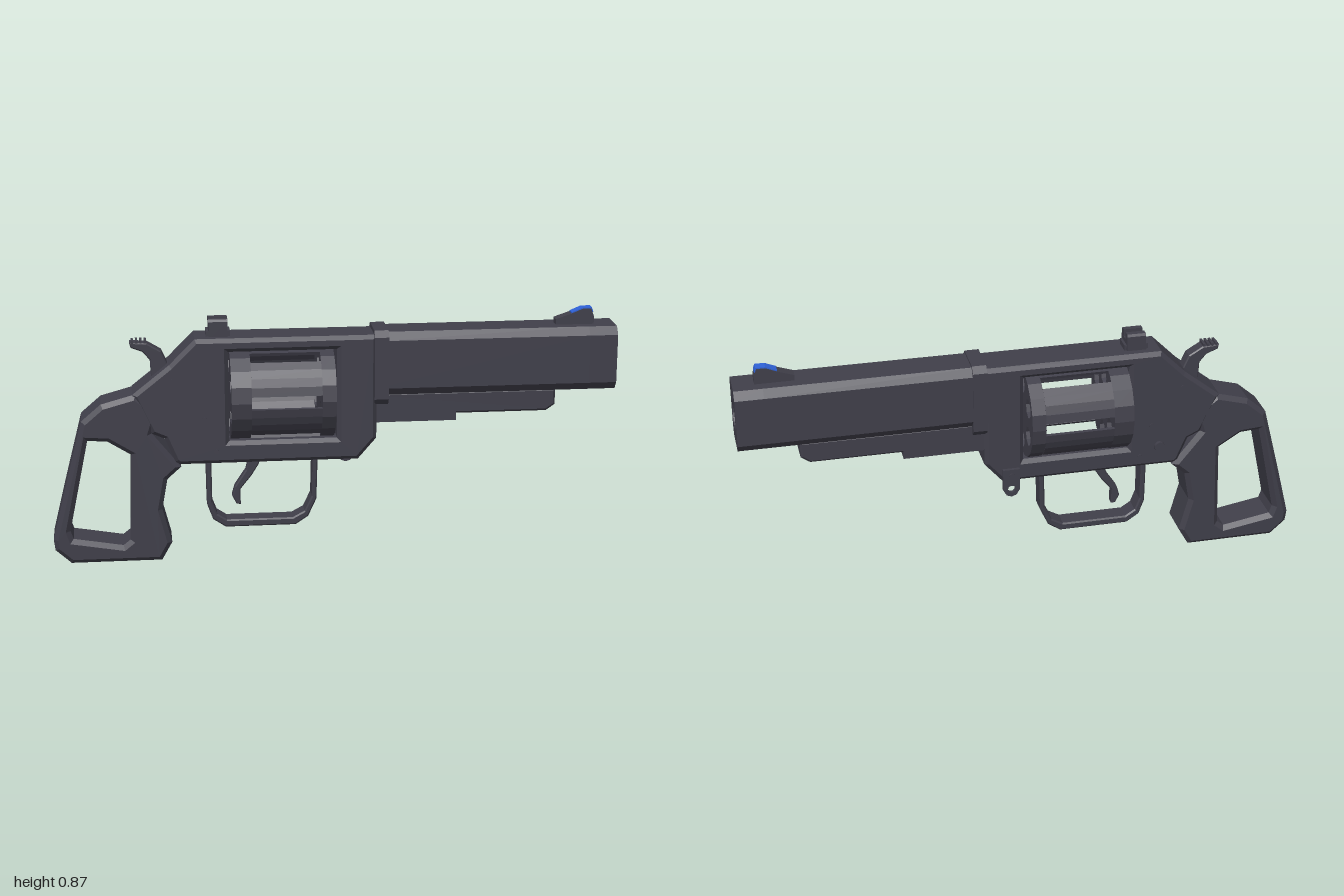
import * as THREE from 'three';

const gunmetal = new THREE.MeshStandardMaterial({ color: 0x403f4a });
gunmetal.name = 'gunmetal';
const sightBlue = new THREE.MeshStandardMaterial({ color: 0x2f62d8 });
sightBlue.name = 'sight blue';

const vec = (p) => p.map(([x, y]) => new THREE.Vector2(x, y));

function shapeOf(outline, holes = []) {
  const s = new THREE.Shape(vec(outline));
  for (const h of holes) s.holes.push(new THREE.Path(vec(h)));
  return s;
}

function circle(cx, cy, r, n) {
  return Array.from({ length: n }, (_, i) => {
    const a = (i / n) * Math.PI * 2;
    return [cx + r * Math.cos(a), cy + r * Math.sin(a)];
  });
}

export function createModel() {
  const model = new THREE.Group();
  model.name = 'revolver';

  const add = (name, geometry, material = gunmetal, parent = model) => {
    const m = new THREE.Mesh(geometry, material);
    m.name = name;
    parent.add(m);
    return m;
  };

  // Side profile (x, y), centred on z with total half width and bevel
  const plate = (shape, half, bevel = 0, z = 0) => {
    const g = new THREE.ExtrudeGeometry(shape, {
      depth: 2 * (half - bevel), bevelEnabled: bevel > 0, bevelThickness: bevel,
      bevelSize: bevel, bevelOffset: -bevel, bevelSegments: 1, curveSegments: 8,
    });
    return g.translate(0, 0, z - half + bevel);
  };

  // Cross-section (z, y) run along x
  const along = (shape, x0, x1) =>
    new THREE.ExtrudeGeometry(shape, { depth: x1 - x0, bevelEnabled: false, curveSegments: 8 })
      .rotateY(Math.PI / 2).translate(x0, 0, 0);

  // Rectangle with chamfered corners
  const chamfered = (hw, y0, y1, cx, cy) => [
    [-hw + cx, y0], [hw - cx, y0], [hw, y0 + cy], [hw, y1 - cy],
    [hw - cx, y1], [-hw + cx, y1], [-hw, y1 - cy], [-hw, y0 + cy],
  ];

  // Frame with the cylinder window
  add('frame', plate(shapeOf([
    [-0.49, 0.805], [-0.58, 0.715], [-0.71, 0.612], [-0.645, 0.47], [-0.60, 0.45],
    [-0.565, 0.365], [-0.55, 0.355], [0.08, 0.355], [0.145, 0.43], [0.145, 0.805],
  ], [[[-0.375, 0.435], [-0.375, 0.757], [0.005, 0.757], [0.005, 0.435]]]), 0.076, 0.014));

  // Open grip
  add('grip', plate(shapeOf([
    [-0.70, 0.613], [-0.82, 0.58], [-0.89, 0.52], [-0.955, 0.27], [-1.0, 0.09], [-0.995, 0.05],
    [-0.94, 0.0], [-0.62, 0.0], [-0.583, 0.065], [-0.615, 0.19], [-0.595, 0.30],
    [-0.545, 0.345], [-0.645, 0.47], [-0.62, 0.55],
  ], [[
    [-0.87, 0.45], [-0.80, 0.445], [-0.72, 0.395], [-0.73, 0.08],
    [-0.755, 0.06], [-0.93, 0.09], [-0.94, 0.12],
  ]]), 0.075, 0.016));

  // Barrel with a recessed bore
  const barrelOutline = chamfered(0.08, 0.585, 0.813, 0.022, 0.028);
  add('barrel', along(shapeOf(barrelOutline), 0.14, 0.9));
  add('muzzle', along(shapeOf(barrelOutline, [circle(0, 0.695, 0.05, 20)]), 0.9, 1.0));
  add('barrelCollar', along(shapeOf(chamfered(0.084, 0.553, 0.82, 0.02, 0.022)), 0.136, 0.186));

  // Lug under the barrel
  add('upperLug', plate(shapeOf([
    [0.13, 0.59], [0.13, 0.508], [0.755, 0.508], [0.787, 0.53], [0.787, 0.59],
  ]), 0.056, 0.008));
  add('lowerLug', plate(shapeOf([
    [0.13, 0.52], [0.13, 0.484], [0.43, 0.484], [0.43, 0.52],
  ]), 0.056));

  // Fluted hollow cylinder
  const cylinder = new THREE.Group();
  cylinder.name = 'cylinder';
  cylinder.position.y = 0.595;
  model.add(cylinder);
  const R = 0.165, wall = 0.012, step = Math.PI / 3, slot = 0.14;
  const chambers = [];
  for (let i = 0; i < 6; i++) {
    const a = (i + 0.5) * step;
    chambers.push(circle(0.108 * Math.cos(a), 0.108 * Math.sin(a), 0.036, 8));
  }
  const disc = shapeOf(circle(0, 0, R, 18), chambers);
  add('rearDisc', along(disc, -0.37, -0.30), gunmetal, cylinder);
  add('frontDisc', along(disc, -0.055, -0.006), gunmetal, cylinder);
  for (let i = 0; i < 6; i++) {
    const outer = [], inner = [];
    for (let k = 0; k <= 4; k++) {
      const a = i * step + slot + (k / 4) * (step - 2 * slot);
      outer.push([R * Math.cos(a), R * Math.sin(a)]);
      inner.unshift([(R - wall) * Math.cos(a), (R - wall) * Math.sin(a)]);
    }
    add('cylinderWall', along(shapeOf([...outer, ...inner]), -0.30, -0.055), gunmetal, cylinder);
  }

  // Trigger guard loop
  add('triggerGuard', plate(shapeOf([
    [-0.457, 0.365], [-0.455, 0.19], [-0.435, 0.135], [-0.39, 0.105], [-0.14, 0.105],
    [-0.095, 0.135], [-0.065, 0.20], [-0.06, 0.365], [-0.078, 0.365], [-0.082, 0.21],
    [-0.108, 0.155], [-0.15, 0.132], [-0.385, 0.132], [-0.42, 0.155], [-0.437, 0.20], [-0.438, 0.365],
  ]), 0.035, 0.005));

  // Curved trigger
  add('trigger', plate(shapeOf([
    [-0.30, 0.37], [-0.315, 0.31], [-0.355, 0.25], [-0.365, 0.215], [-0.35, 0.185],
    [-0.335, 0.183], [-0.335, 0.24], [-0.295, 0.29], [-0.27, 0.33], [-0.255, 0.37],
  ]), 0.018, 0.004));

  // Hammer with a ridged thumb spur
  add('hammer', plate(shapeOf([
    [-0.715, 0.788], [-0.71, 0.77], [-0.67, 0.755], [-0.645, 0.725], [-0.64, 0.62],
    [-0.56, 0.65], [-0.585, 0.71], [-0.605, 0.755], [-0.655, 0.785],
  ]), 0.024, 0.004));
  for (let i = 0; i < 4; i++) {
    add('spurRidge', new THREE.BoxGeometry(0.008, 0.01, 0.046).translate(-0.705 + i * 0.015, 0.79, 0));
  }

  // Notched rear sight
  add('rearSight', along(shapeOf([
    [-0.038, 0.80], [0.038, 0.80], [0.038, 0.858], [0.032, 0.866], [0.012, 0.866],
    [0.012, 0.84], [-0.012, 0.84], [-0.012, 0.866], [-0.032, 0.866], [-0.038, 0.858],
  ]), -0.44, -0.373));
  add('rearSightBase', new THREE.BoxGeometry(0.085, 0.025, 0.06).translate(-0.407, 0.812, 0));

  // Front sight and its coloured insert
  add('frontSight', plate(shapeOf([
    [0.788, 0.80], [0.788, 0.833], [0.845, 0.852], [0.885, 0.868], [0.915, 0.868],
    [0.925, 0.84], [0.925, 0.80],
  ]), 0.02));
  add('frontSightInsert', plate(shapeOf([
    [0.845, 0.852], [0.885, 0.868], [0.915, 0.868], [0.92, 0.855],
    [0.923, 0.857], [0.917, 0.872], [0.884, 0.872], [0.845, 0.856],
  ]), 0.017), sightBlue);

  // Lanyard eye on the right side
  add('lanyardEye', plate(shapeOf([
    [0.022, 0.41], [0.022, 0.33], [0.035, 0.308], [0.052, 0.302], [0.07, 0.308],
    [0.083, 0.33], [0.083, 0.41],
  ], [circle(0.052, 0.332, 0.014, 10)]), 0.007, 0, -0.081));

  // Screw heads and pins
  const pin = (name, x, y, r, z, len) =>
    add(name, new THREE.CylinderGeometry(r, r, len, 12).rotateX(Math.PI / 2).translate(x, y, z));
  pin('sideScrew', -0.49, 0.435, 0.019, -0.078, 0.02);
  pin('eyeScrew', 0.052, 0.385, 0.01, -0.088, 0.006);
  for (const [x, y] of [[-0.57, 0.66], [-0.46, 0.52], [-0.42, 0.40]]) {
    pin('framePin', x, y, 0.008, 0, 0.157);
  }

  return model;
}
